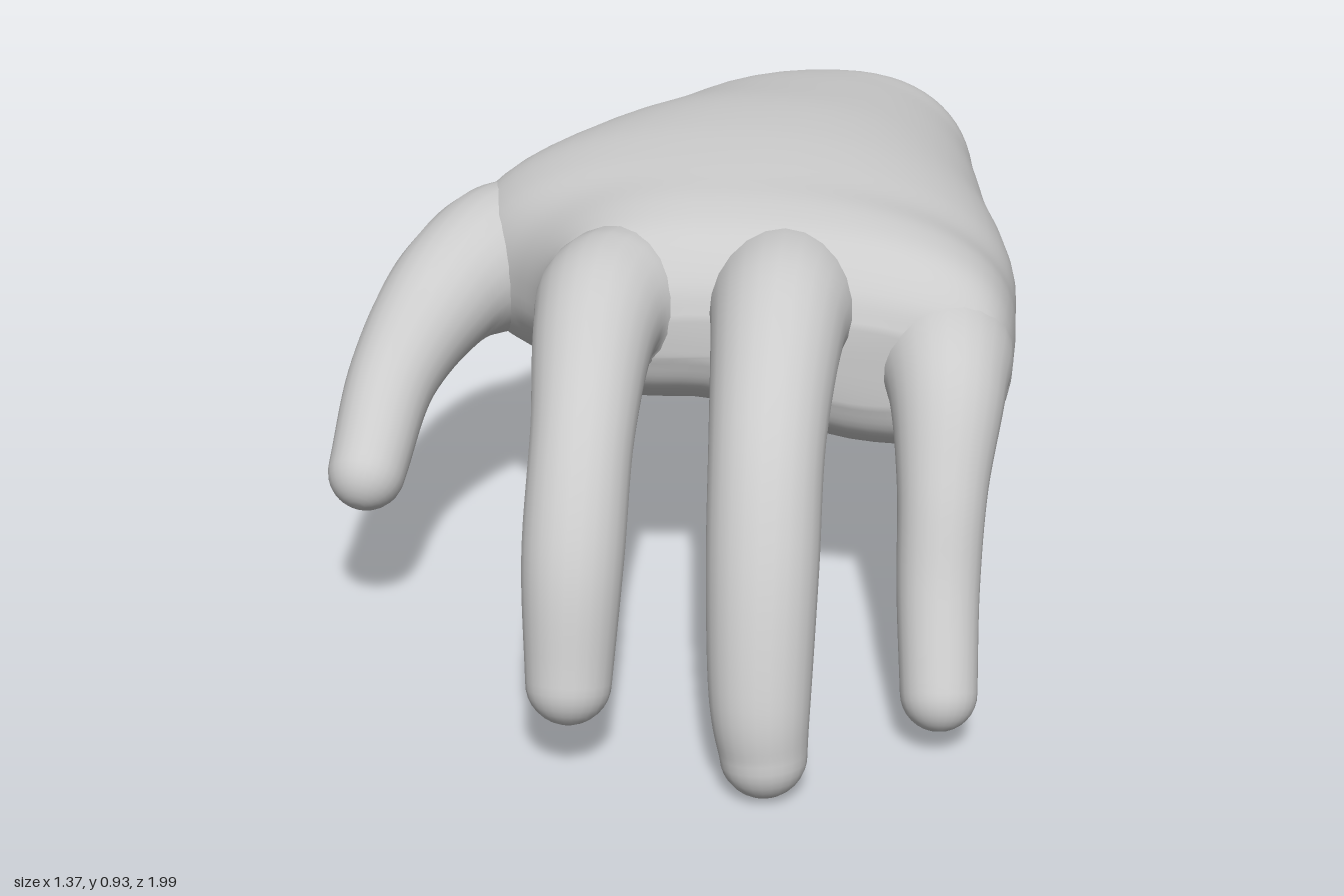
import * as THREE from 'three';

const V = (x, y, z) => new THREE.Vector3(x, y, z);
const { lerp, smoothstep } = THREE.MathUtils;

// Skin over closed rings of points; either end may be closed with a centre vertex
function skin(name, rings, closeStart, closeEnd) {
  const n = rings[0].length, pos = [], idx = [];
  rings.forEach(r => r.forEach(p => pos.push(p.x, p.y, p.z)));
  for (let i = 0; i < rings.length - 1; i++) {
    for (let j = 0; j < n; j++) {
      const a = i * n + j, b = i * n + (j + 1) % n;
      idx.push(a, b, a + n, b, b + n, a + n);
    }
  }
  const cap = (row, flip) => {
    const c = rings[row].reduce((s, p) => s.add(p), V(0, 0, 0)).divideScalar(n);
    const k = pos.length / 3;
    pos.push(c.x, c.y, c.z);
    for (let j = 0; j < n; j++) {
      const a = row * n + j, b = row * n + (j + 1) % n;
      if (flip) idx.push(b, a, k); else idx.push(a, b, k);
    }
  };
  if (closeStart) cap(0, true);
  if (closeEnd) cap(rings.length - 1, false);
  const geo = new THREE.BufferGeometry();
  geo.setAttribute('position', new THREE.Float32BufferAttribute(pos, 3));
  geo.setIndex(idx);
  geo.computeVertexNormals();
  const mesh = new THREE.Mesh(geo, new THREE.MeshStandardMaterial({ color: 0xcccccc, side: THREE.DoubleSide }));
  mesh.name = name;
  return mesh;
}

// Palm sections: z, xMin, xMax, crest x, top, bottom, height of -x edge, height of +x edge
const PALM = [
  [-1.0, -0.16, 0.565, 0.35, 0.71, 0.335, 0.58, 0.59],
  [-0.975, -0.17, 0.575, 0.32, 0.78, 0.33, 0.58, 0.61],
  [-0.92, -0.18, 0.58, 0.28, 0.825, 0.33, 0.58, 0.62],
  [-0.8, -0.21, 0.59, 0.20, 0.86, 0.325, 0.58, 0.62],
  [-0.6, -0.29, 0.61, 0.15, 0.895, 0.32, 0.59, 0.62],
  [-0.4, -0.41, 0.63, 0.10, 0.925, 0.335, 0.60, 0.62],
  [-0.2, -0.505, 0.66, 0.08, 0.935, 0.37, 0.62, 0.62],
  [-0.06, -0.47, 0.68, 0.08, 0.93, 0.40, 0.63, 0.62],
  [0.06, -0.36, 0.68, 0.08, 0.92, 0.43, 0.64, 0.62],
  [0.18, -0.285, 0.68, 0.10, 0.905, 0.455, 0.65, 0.62],
  [0.28, -0.265, 0.67, 0.12, 0.87, 0.475, 0.66, 0.61],
  [0.35, -0.23, 0.64, 0.14, 0.80, 0.53, 0.67, 0.61],
  [0.38, -0.10, 0.52, 0.18, 0.73, 0.60, 0.67, 0.64],
];

function palm() {
  const N = 64, ROWS = 60;
  const lines = [];
  for (let j = 0; j < N; j++) {
    const a = j / N * Math.PI * 2, cos = Math.cos(a), sin = Math.sin(a);
    lines.push(new THREE.CatmullRomCurve3(PALM.map(([z, x0, x1, xc, top, bot, yl, yr]) => {
      // sections grow squarer towards the knuckles
      const p = lerp(0.9, 0.68, smoothstep(z, 0, 0.3));
      const c = Math.sign(cos) * Math.abs(cos) ** p, s = Math.sign(sin) * Math.abs(sin) ** p;
      const side = lerp(yl, yr, (c + 1) / 2);
      const x = xc + c * (c > 0 ? x1 - xc : xc - x0);
      let y = side + s * (s > 0 ? top - side : side - bot);
      // hollow between the two pads underneath, tilted down to the +x side in front
      const hollow = 0.045 * Math.exp(-(((x - 0.1) / 0.16) ** 2));
      const tilt = 0.15 * (0.1 - x) * smoothstep(z, 0, 0.25);
      y += Math.max(0, -s) * (hollow + tilt);
      // the wrist is cut obliquely: the underside ends further forward
      const t = (top - y) / (top - bot);
      const cut = t * (0.33 + 0.19 * c) + (c < 0 ? 0.1 : 0.03) * c * c;
      return V(x, y, z + cut * Math.max(0, (-z - 0.2) / 0.8));
    }), false, 'centripetal'));
  }
  const rings = [];
  for (let i = 0; i <= ROWS; i++) rings.push(lines.map(l => l.getPoint(i / ROWS)));
  return skin('palm', rings, false, true);
}

// Tapered digit along points [x, y, z, radius], with a rounded tip
function digit(name, pts) {
  const N = 24, STEPS = 40, TIP = 8;
  const path = new THREE.CatmullRomCurve3(pts.map(p => V(p[0], p[1], p[2])), false, 'catmullrom');
  const size = new THREE.CatmullRomCurve3(pts.map(p => V(p[3], 0, 0)), false, 'catmullrom');
  const rings = [];
  const ring = (c, dir, r) => {
    const side = V(1, 0, 0).addScaledVector(dir, -dir.x).normalize();
    const up = dir.clone().cross(side);
    rings.push(Array.from({ length: N }, (_, j) => {
      const a = j / N * Math.PI * 2;
      return c.clone().addScaledVector(side, r * Math.cos(a)).addScaledVector(up, r * Math.sin(a));
    }));
  };
  for (let i = 0; i <= STEPS; i++) {
    const t = i / STEPS;
    ring(path.getPoint(t), path.getTangent(t), size.getPoint(t).x);
  }
  const end = path.getPoint(1), dir = path.getTangent(1), r = size.getPoint(1).x;
  for (let i = 1; i < TIP; i++) {
    const a = i / TIP * Math.PI / 2;
    ring(end.clone().addScaledVector(dir, r * Math.sin(a)), dir, r * Math.cos(a));
  }
  return skin(name, rings, true, true);
}

export function createModel() {
  const hand = new THREE.Group();
  hand.name = 'hand';
  // each digit starts buried inside the palm and swells at its knuckle
  hand.add(
    palm(),
    digit('thumb', [
      [-0.26, 0.64, -0.38, 0.08], [-0.395, 0.645, -0.16, 0.155], [-0.505, 0.62, 0.03, 0.125],
      [-0.585, 0.51, 0.21, 0.093], [-0.61, 0.375, 0.395, 0.078],
    ]),
    digit('indexFinger', [
      [-0.04, 0.70, 0.04, 0.11], [-0.115, 0.725, 0.28, 0.148], [-0.135, 0.725, 0.43, 0.122],
      [-0.13, 0.61, 0.65, 0.10], [-0.13, 0.42, 0.80, 0.097], [-0.13, 0.20, 0.88, 0.082],
    ]),
    digit('middleFinger', [
      [0.20, 0.70, 0.04, 0.13], [0.22, 0.735, 0.28, 0.15], [0.22, 0.735, 0.43, 0.13],
      [0.22, 0.61, 0.65, 0.111], [0.225, 0.42, 0.79, 0.106], [0.23, 0.20, 0.885, 0.096],
      [0.24, 0.085, 0.91, 0.083],
    ]),
    digit('littleFinger', [
      [0.47, 0.65, 0.04, 0.10], [0.53, 0.64, 0.25, 0.142], [0.55, 0.61, 0.40, 0.115],
      [0.55, 0.47, 0.53, 0.088], [0.55, 0.30, 0.62, 0.08], [0.56, 0.125, 0.72, 0.074],
    ]),
  );
  return hand;
}
